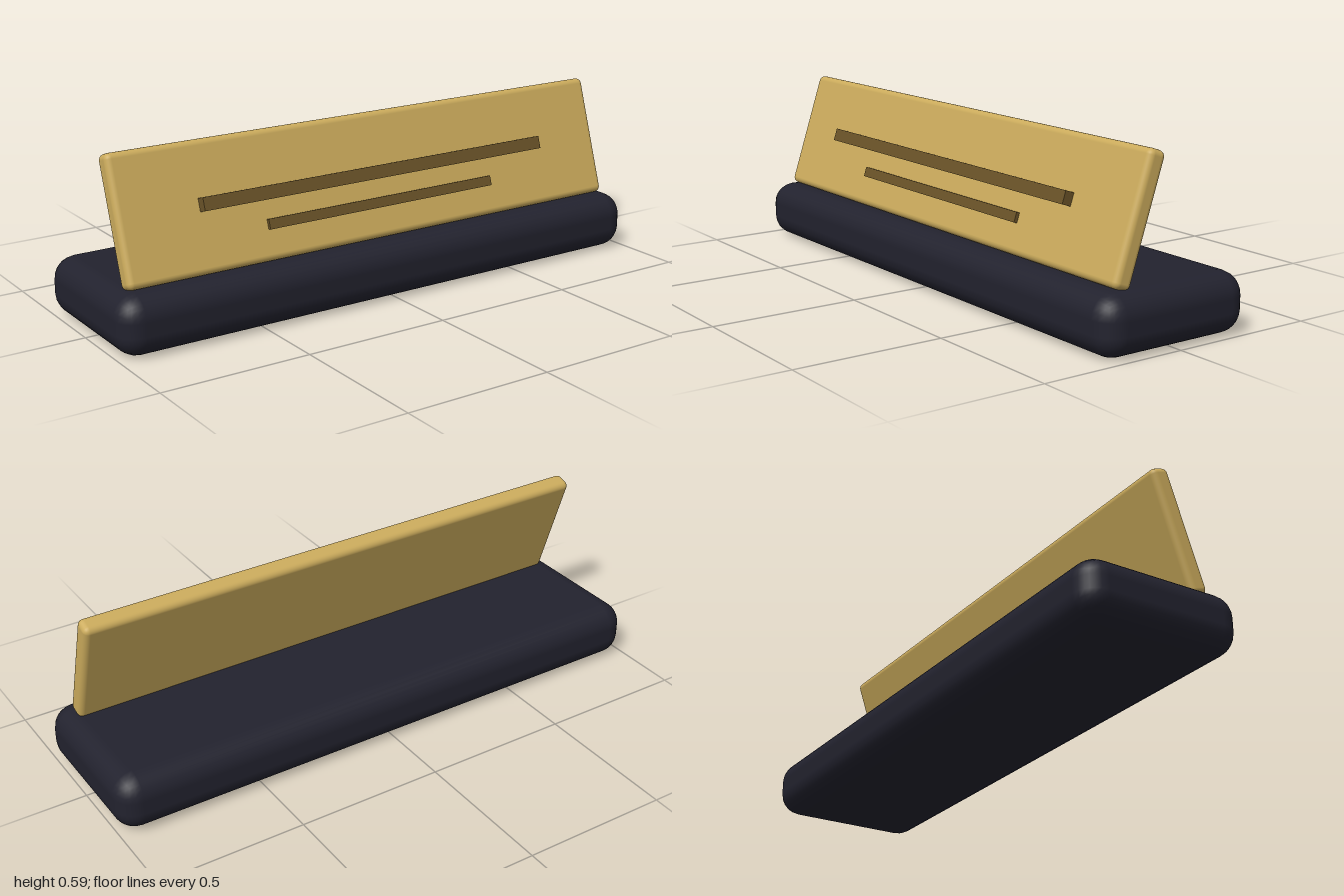
import * as THREE from 'three';
import { RoundedBoxGeometry } from 'three/addons/geometries/RoundedBoxGeometry.js';

const material = (name, color) => {
  const m = new THREE.MeshStandardMaterial({ color });
  m.name = name;
  return m;
};

export function createModel() {
  const dark = material('dark base', 0x22222e);
  const brass = material('brass', 0xcbab5c);
  const bronze = material('engraved bronze', 0x6a5328);

  const model = new THREE.Group();
  model.name = 'deskNameplate';

  const add = (parent, name, geometry, mat, x, y, z) => {
    const mesh = new THREE.Mesh(geometry, mat);
    mesh.name = name;
    mesh.position.set(x, y, z);
    parent.add(mesh);
    return mesh;
  };

  // Soft-edged block standing on the desk
  add(model, 'base', new RoundedBoxGeometry(2, 0.195, 0.556, 3, 0.075), dark, 0, 0.0975, 0);

  // Plate leaning back, its lower edge set slightly into the base
  const plate = new THREE.Group();
  plate.name = 'leaningPlate';
  plate.position.set(0, 0.3895, 0.1115);
  plate.rotation.x = -0.32;
  model.add(plate);
  add(plate, 'plate', new RoundedBoxGeometry(1.884, 0.415, 0.065, 3, 0.02), brass, 0, 0, 0);

  // Raised bars: width, height, front face depth, height along the plate
  const bars = [
    ['upperBar', 1.332, 0.043, 0.0655, 0.006],
    ['lowerBar', 0.885, 0.0335, 0.0445, -0.093],
  ];
  const back = 0.025;
  for (const [name, w, h, front, y] of bars) {
    add(plate, name, new THREE.BoxGeometry(w, h, front - back), bronze, 0, y, (front + back) / 2);
  }
  return model;
}
